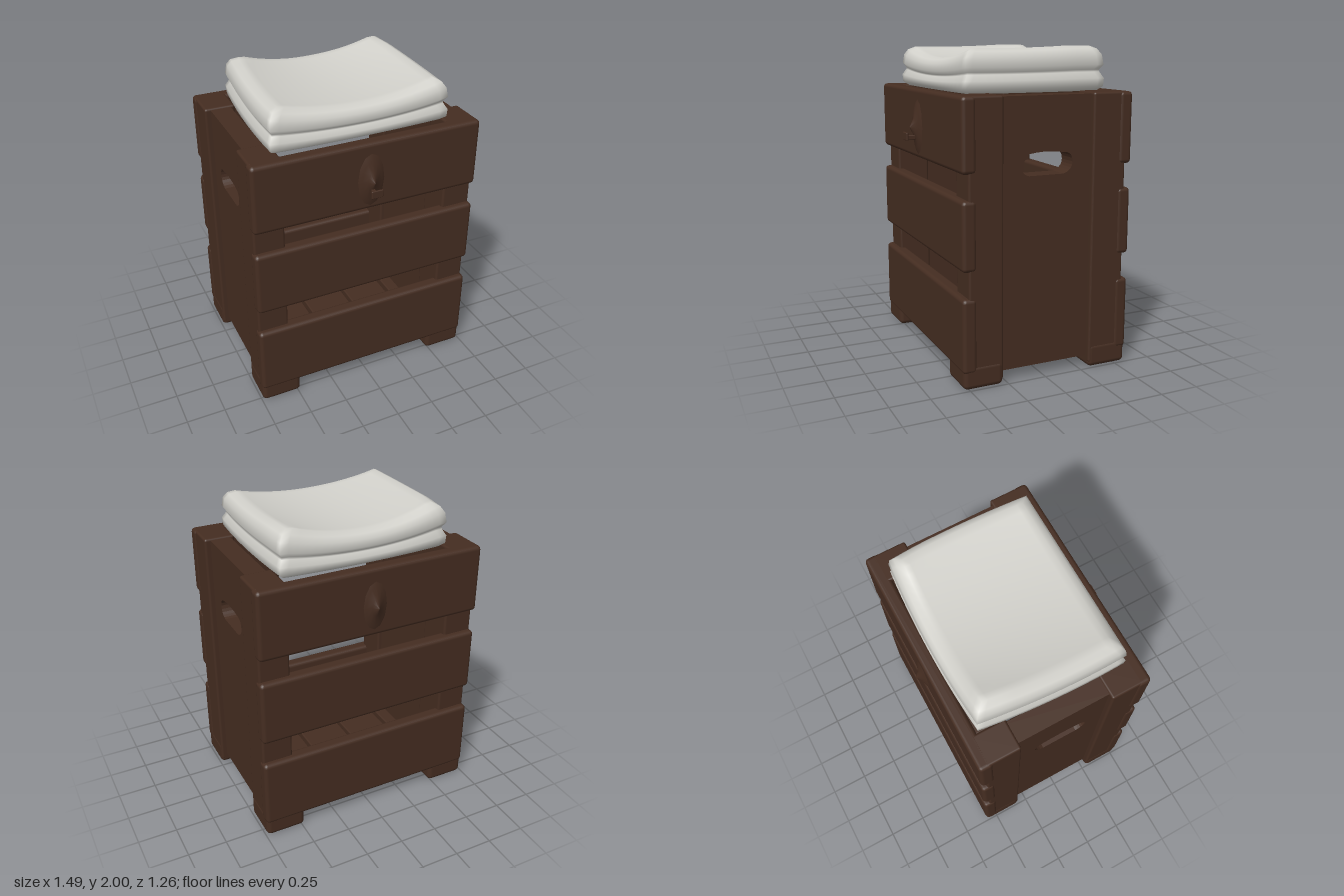
import * as THREE from 'three';
import { mergeVertices } from 'three/addons/utils/BufferGeometryUtils.js';
import { RoundedBoxGeometry } from 'three/addons/geometries/RoundedBoxGeometry.js';

const wood = new THREE.MeshStandardMaterial({ color: 0x452d21 });
wood.name = 'dark wood';
const cloth = new THREE.MeshStandardMaterial({ color: 0xd2d1cb });
cloth.name = 'off-white cloth';

export function createModel() {
  const group = new THREE.Group();
  group.name = 'crateStool';

  const add = (name, geometry, material = wood) => {
    const mesh = new THREE.Mesh(geometry, material);
    mesh.name = name;
    group.add(mesh);
    return mesh;
  };
  // Board with softened edges, given by its two extreme corners
  const board = (name, [x0, y0, z0], [x1, y1, z1], r = 0.015) =>
    add(name, new RoundedBoxGeometry(x1 - x0, y1 - y0, z1 - z0, 2, r))
      .position.set((x0 + x1) / 2, (y0 + y1) / 2, (z0 + z1) / 2);

  // Front and back slats
  for (const [y0, y1] of [[0.1, 0.56], [0.72, 1.14], [1.29, 1.73]]) {
    board('frontSlat', [-0.745, y0, 0.45], [0.745, y1, 0.54], 0.025);
    board('backSlat', [-0.745, y0, -0.58], [0.745, y1, -0.49], 0.025);
  }

  // Corner posts with wider feet
  for (const s of [-1, 1]) {
    const a = s < 0 ? -0.738 : 0.54, b = s < 0 ? -0.54 : 0.738;
    const c = s < 0 ? -0.742 : 0.48, d = s < 0 ? -0.48 : 0.742;
    board('frontPost', [a, 0.03, 0.28], [b, 1.73, 0.5]);
    board('backPost', [a, 0.03, -0.54], [b, 1.73, -0.31]);
    board('frontFoot', [c, 0, 0.28], [d, 0.15, 0.535], 0.03);
    board('backFoot', [c, 0, -0.575], [d, 0.15, -0.31], 0.03);
  }

  // End panels with a rounded hand hole
  const panel = new THREE.Shape();
  panel.moveTo(-0.33, 0.07);
  panel.lineTo(0.3, 0.07);
  panel.lineTo(0.3, 1.72);
  panel.lineTo(-0.33, 1.72);
  panel.closePath();
  const hole = new THREE.Path();
  hole.moveTo(-0.13, 1.25);
  hole.quadraticCurveTo(-0.19, 1.27, -0.19, 1.32);
  hole.quadraticCurveTo(-0.19, 1.38, -0.13, 1.38);
  hole.quadraticCurveTo(-0.01, 1.4, 0.1, 1.38);
  hole.quadraticCurveTo(0.16, 1.37, 0.16, 1.32);
  hole.quadraticCurveTo(0.15, 1.26, 0.1, 1.25);
  hole.closePath();
  panel.holes.push(hole);
  const panelGeometry = new THREE.ExtrudeGeometry(panel, { depth: 0.13, bevelEnabled: false, curveSegments: 5 });
  panelGeometry.rotateY(-Math.PI / 2); // shape x becomes z, depth runs to -x
  add('leftPanel', panelGeometry).position.x = 0.7;
  add('rightPanel', panelGeometry).position.x = -0.57;

  // Floor planks, running front to back with narrow gaps
  for (const [x0, x1] of [[-0.57, -0.48], [-0.455, -0.17], [-0.15, 0.15], [0.17, 0.455], [0.48, 0.57]])
    board('floorPlank', [x0, 0.07, -0.54], [x1, 0.13, 0.5], 0.01);

  // Pointed bosses on the top slats
  const profile = [[0.19, 0], [0.13, 0.018], [0.06, 0.03], [0.001, 0.06]];
  const boss = new THREE.LatheGeometry(profile.map(p => new THREE.Vector2(...p)), 12);
  boss.scale(0.5, 1, 1);
  const frontBoss = add('frontBoss', boss);
  frontBoss.rotation.x = Math.PI / 2;
  frontBoss.position.set(0, 1.49, 0.535);
  const backBoss = add('backBoss', boss);
  backBoss.rotation.x = -Math.PI / 2;
  backBoss.position.set(0, 1.49, -0.57);

  // Small hook on the front boss
  board('hookStem', [-0.012, 1.41, 0.56], [0.012, 1.44, 0.62], 0.005);
  board('hookPlate', [-0.038, 1.41, 0.615], [0.038, 1.46, 0.628], 0.005);

  // Folded cushion: a box shaped by an edge profile and a sagging top
  const insets = [0.035, 0.003, 0, 0.022, 0.024, 0.003, 0.012, 0.035, 0.075];
  const levels = [0, 0.1, 0.28, 0.42, 0.47, 0.58, 0.8, 0.93, 1];
  let cushion = new THREE.BoxGeometry(2, 1, 2, 20, 8, 20);
  cushion.deleteAttribute('normal');
  cushion.deleteAttribute('uv');
  cushion = mergeVertices(cushion);
  const p = cushion.attributes.position;
  for (let i = 0; i < p.count; i++) {
    const u = p.getX(i), w = p.getZ(i);
    const k = Math.round((p.getY(i) + 0.5) * 8);
    const inset = insets[k];
    const corner = 1 - 0.035 * u * u * w * w; // soften the corners
    const left = 0.58, right = 0.585 + 0.025 * w;
    const x = u * ((u > 0 ? left : right) - inset) * corner;
    const z = -0.02 + w * (0.48 - inset) * corner - (w < 0 ? 0.008 * (1 - u * u) : 0);
    const top = 1.915 + 0.075 * u * u + 0.01 * w * w - 0.012 * w * u * u;
    p.setXYZ(i, x, 1.725 + (Math.min(top, 2) - 1.725) * levels[k], z);
  }
  cushion.computeVertexNormals();
  add('cushion', cushion, cloth);

  return group;
}
